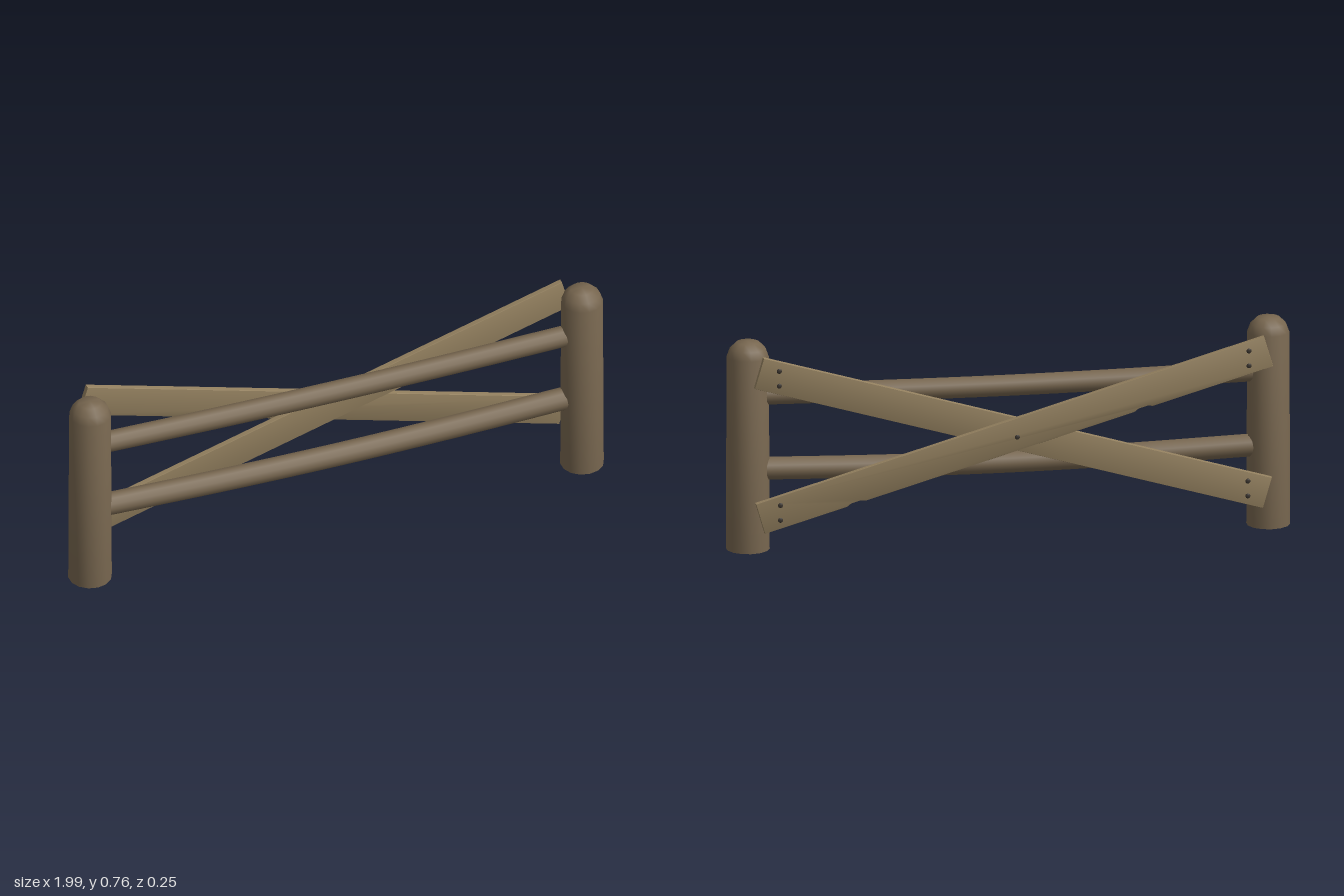
import * as THREE from 'three';
import { toCreasedNormals } from 'three/addons/utils/BufferGeometryUtils.js';

const logWood = new THREE.MeshStandardMaterial({ color: 0x77664f });
const plankWood = new THREE.MeshStandardMaterial({ color: 0x93805f });
const boltMetal = new THREE.MeshStandardMaterial({ color: 0x3a342e });
logWood.name = 'logWood';
plankWood.name = 'plankWood';
boltMetal.name = 'boltMetal';

const TILT = THREE.MathUtils.degToRad(16.2);
const CROSS_Y = 0.407;

function add(group, name, geometry, material, x = 0, y = 0, z = 0) {
  const mesh = new THREE.Mesh(geometry, material);
  mesh.name = name;
  mesh.position.set(x, y, z);
  group.add(mesh);
  return mesh;
}

// Round post, slightly tapered, with a faceted dome on top
function postGeometry() {
  const profile = [[0, 0], [0.077, 0], [0.074, 0.7], [0.063, 0.73], [0.04, 0.752], [0, 0.757]];
  const lathe = new THREE.LatheGeometry(profile.map(([r, y]) => new THREE.Vector2(r, y)), 14);
  return toCreasedNormals(lathe, 0.75);
}

// Log rail that sags a little in the middle
function railGeometry(endY, midY, radius) {
  const kinkY = midY + (endY - midY) * 0.25;
  const path = new THREE.CatmullRomCurve3([
    [-0.9, endY], [-0.42, kinkY], [0, midY], [0.42, kinkY], [0.9, endY],
  ].map(([x, y]) => new THREE.Vector3(x, y, 0)));
  return new THREE.TubeGeometry(path, 16, radius, 12);
}

// Flat board with softened edges and worn chips along the lower edge
function plankGeometry(chips) {
  const bevel = 0.004, hx = 0.9375 - bevel, hy = 0.0575 - bevel;
  const shape = new THREE.Shape();
  shape.moveTo(-hx, -hy);
  for (const c of chips) {
    shape.lineTo(c - 0.035, -hy);
    shape.lineTo(c - 0.018, -hy + 0.007);
    shape.lineTo(c + 0.018, -hy + 0.007);
    shape.lineTo(c + 0.035, -hy);
  }
  shape.lineTo(hx, -hy);
  shape.lineTo(hx, hy);
  shape.lineTo(-hx, hy);
  shape.closePath();
  const depth = 0.023 - 2 * bevel;
  const board = new THREE.ExtrudeGeometry(shape, {
    depth, bevelEnabled: true, bevelSize: bevel, bevelThickness: bevel, bevelSegments: 2,
  });
  board.translate(0, 0, -depth / 2);
  return toCreasedNormals(board, 0.6);
}

export function createModel() {
  const group = new THREE.Group();

  // Posts
  const post = postGeometry();
  add(group, 'rightPost', post, logWood, -0.922, 0, 0.047);
  add(group, 'leftPost', post, logWood, 0.922, 0, 0.047);

  // Rails
  add(group, 'upperRail', railGeometry(0.561, 0.55, 0.038), logWood, 0, 0, 0.042);
  add(group, 'lowerRail', railGeometry(0.291, 0.273, 0.041), logWood, 0, 0, 0.042);

  // Crossed planks, one behind the other, with a pair of bolts at each end
  const bolt = new THREE.SphereGeometry(0.009, 10, 8).scale(1, 1, 0.42);
  const planks = [
    { name: 'frontPlank', slope: 1, z: -0.0585, chips: [] },
    { name: 'backPlank', slope: -1, z: -0.0835, chips: [-0.46, 0.6] },
  ];
  for (const { name, slope, z, chips } of planks) {
    add(group, name, plankGeometry(chips), plankWood, 0, CROSS_Y, z).rotation.z = slope * TILT;
    for (const side of [-1, 1]) {
      for (const up of [-1, 1]) {
        const y = CROSS_Y + side * slope * 0.241 + up * 0.027;
        add(group, name + 'Bolt', bolt, boltMetal, side * 0.83, y, z - 0.0135);
      }
    }
  }

  // Bolt at the crossing
  add(group, 'centreBolt', bolt, boltMetal, -0.005, 0.408, -0.121);

  return group;
}
